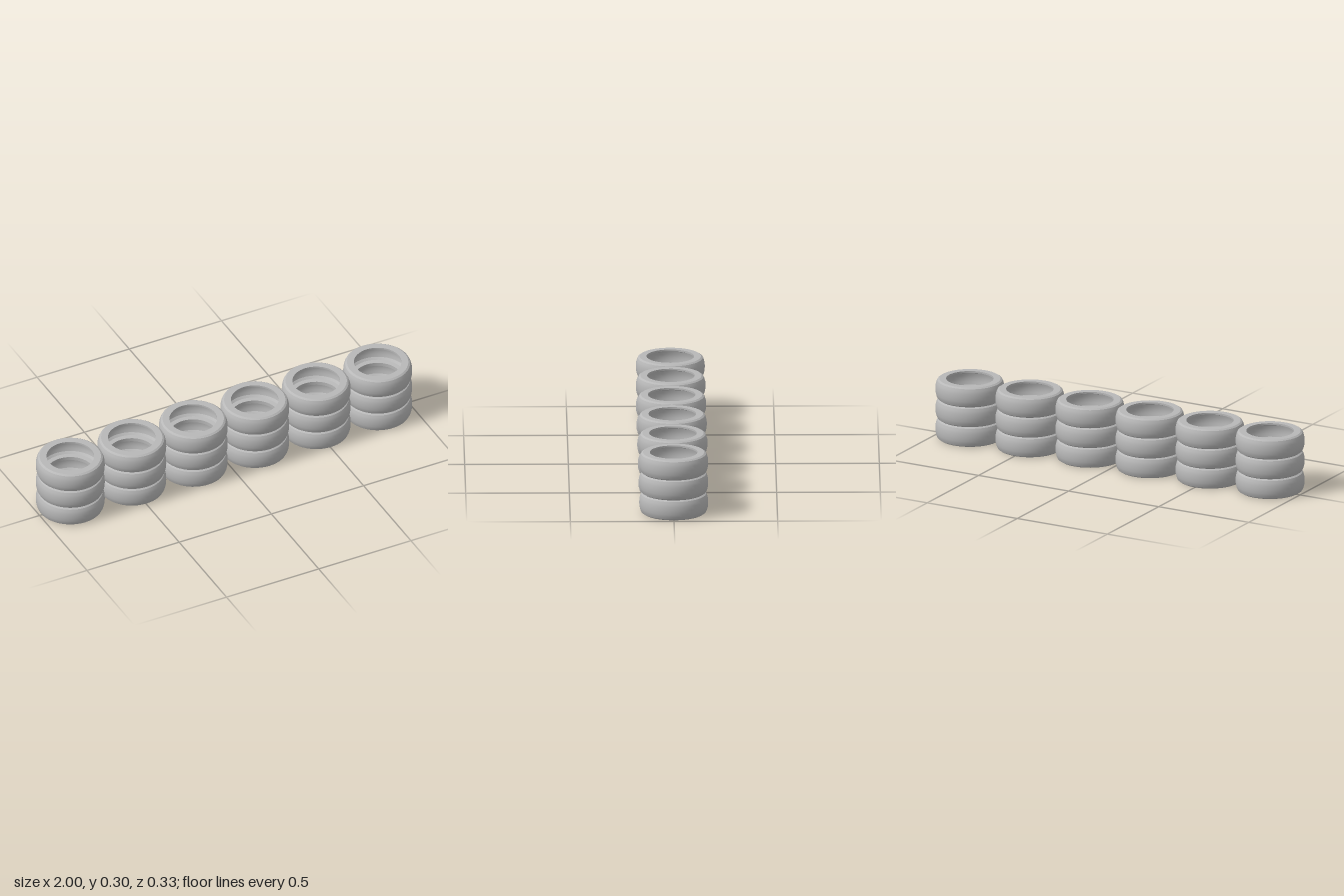
import * as THREE from 'three';
import { toCreasedNormals } from 'three/addons/utils/BufferGeometryUtils.js';

const PITCH_X = 1 / 3, TYRE_HEIGHT = 0.1, COLUMNS = 6, LAYERS = 3;

// Upper half of the tyre's section as [radius, height above mid-plane], tread to inner cavity
const HALF_SECTION = [
  [0.1665, 0], [0.1655, 0.019], [0.162, 0.033], [0.157, 0.044], // bulging tread
  [0.148, 0.05],                                                 // shoulder chamfer
  [0.115, 0.05], [0.115, 0.041],                                 // sidewall and bead lip
  [0.138, 0.039], [0.148, 0.029], [0.152, 0.015], [0.153, 0],    // hollow inside
];

function tyreGeometry() {
  // Mirror the half section and close the loop
  const upper = HALF_SECTION.map(([r, y]) => new THREE.Vector2(r, y));
  const lower = HALF_SECTION.slice(0, -1).reverse().map(([r, y]) => new THREE.Vector2(r, -y));
  return toCreasedNormals(new THREE.LatheGeometry([...upper, ...lower], 48), 0.5);
}

export function createModel() {
  const model = new THREE.Group();
  model.name = 'tyreBarrier';
  const rubber = new THREE.MeshStandardMaterial({ color: 0xb8b8b8 });
  rubber.name = 'grey rubber';
  const geometry = tyreGeometry();

  // Row of stacks, each made of identical tyres
  for (let c = 0; c < COLUMNS; c++) {
    const stack = new THREE.Group();
    stack.name = `tyreStack${c + 1}`;
    stack.position.x = (c - (COLUMNS - 1) / 2) * PITCH_X;
    for (let l = 0; l < LAYERS; l++) {
      const tyre = new THREE.Mesh(geometry, rubber);
      tyre.name = `tyre${l + 1}`;
      tyre.position.y = (l + 0.5) * TYRE_HEIGHT;
      stack.add(tyre);
    }
    model.add(stack);
  }
  return model;
}
